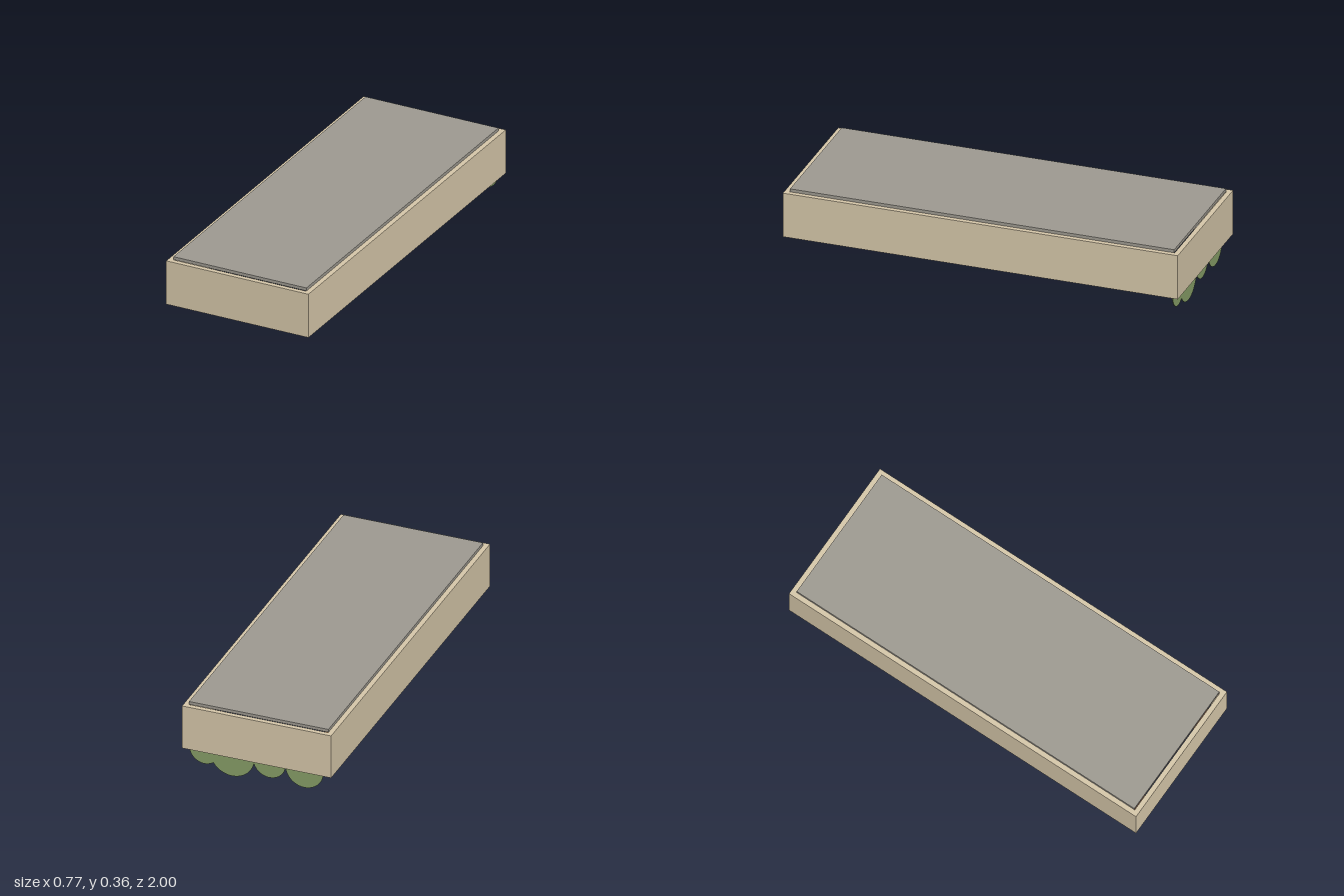
import * as THREE from 'three';
import { mergeGeometries } from 'three/addons/utils/BufferGeometryUtils.js';

const mat = (name, color) => {
  const m = new THREE.MeshStandardMaterial({ color });
  m.name = name;
  return m;
};

export function createModel() {
  const M = {
    wall: mat('sandstone', 0xd8c9ab),
    roof: mat('roofGrey', 0x9f9b92),
    hill: mat('hillGreen', 0x88a068),
    red: mat('barrierRed', 0xd8433a),
    white: mat('barrierWhite', 0xf4f2ee),
    black: mat('postBlack', 0x2c2a2a),
    wood: mat('crateWood', 0xb07440),
    dark: mat('darkWood', 0x6b4429),
    yellow: mat('signYellow', 0xe0b830),
  };
  const root = new THREE.Group();
  root.name = 'arenaHall';
  const FLOOR = 0.118, TOP = 0.348;

  const add = (name, geo, material, parent = root) => {
    const mesh = new THREE.Mesh(geo, material);
    mesh.name = name;
    parent.add(mesh);
  };
  const group = (name, x, y, z) => {
    const g = new THREE.Group();
    g.name = name;
    g.position.set(x, y, z);
    root.add(g);
    return g;
  };
  const block = (w, h, d, x, y, z) => new THREE.BoxGeometry(w, h, d).translate(x, y, z);

  // Shell: four walls and an inset roof slab, open underneath
  const wallH = TOP - FLOOR, wallY = (TOP + FLOOR) / 2;
  for (const s of [-1, 1]) {
    add('sideWall', block(0.025, wallH, 2, s * 0.3705, wallY, 0), M.wall);
    add('endWall', block(0.716, wallH, 0.025, 0, wallY, s * 0.9875), M.wall);
  }
  add('roof', block(0.716, 0.016, 1.946, 0, TOP + 0.008, 0), M.roof);

  // Flat round hills behind the arena, reaching below the walls
  for (const [x, y, r] of [[-0.232, 0.113, 0.097], [-0.052, 0.115, 0.083], [0.14, 0.115, 0.115], [0.282, 0.113, 0.076]]) {
    const disc = new THREE.CylinderGeometry(r, r, 0.004, 48).rotateX(Math.PI / 2);
    add('hill', disc.translate(x, y, -0.965 + r * 0.01), M.hill);
  }
  add('yellowSign', block(0.03, 0.014, 0.006, 0.342, 0.126, -0.971), M.yellow);

  // Railings: solid red and white stretches, open black and white ones between
  const bars = { red: [], white: [], black: [] };
  const isRed = (z) => (z > 0.69 && z < 0.9) || (z > -0.48 && z < 0.06);
  for (const s of [-1, 1]) {
    for (let i = 0; i < 120; i++) {
      const z = -0.94 + i * 0.0158;
      const solid = isRed(z);
      const key = i % 2 ? 'white' : solid ? 'red' : 'black';
      const width = solid ? 0.0158 : i % 2 ? 0.01 : 0.005;
      bars[key].push(block(0.005, 0.034, width, s * 0.352, FLOOR + 0.018, z));
    }
  }
  for (let i = 0; i < 44; i++) {
    bars[i % 2 ? 'white' : 'red'].push(block(0.0158, 0.034, 0.005, -0.34 + i * 0.0158, FLOOR + 0.018, 0.966));
  }
  for (const key in bars) add(key + 'RailingBars', mergeGeometries(bars[key]), M[key]);

  // Lamp posts and a dashed brown moulding under the ceiling on both sides
  const dashes = [];
  for (const s of [-1, 1]) {
    for (const z of [0.386, 0.142, -0.118, -0.5]) {
      add('post', block(0.01, 0.052, 0.01, s * 0.339, FLOOR + 0.026, z), M.black);
      add('postCap', block(0.015, 0.012, 0.015, s * 0.339, FLOOR + 0.055, z), M.black);
    }
    for (let i = 0; i < 60; i++) {
      dashes.push(block(0.004, 0.005, 0.018, s * 0.355, TOP - 0.003, -0.93 + i * 0.0315));
    }
  }
  add('ceilingMoulding', mergeGeometries(dashes), M.dark);

  // Crates with darker edge battens
  const S = 0.036;
  for (const [x, z] of [[0.265, -0.205], [0.09, 0.1], [-0.09, -0.36], [-0.268, 0.255]]) {
    const g = group('crate', x, FLOOR - 0.001 + S / 2, z);
    add('crateBody', block(S - 0.003, S - 0.003, S - 0.003, 0, 0, 0), M.wood, g);
    const battens = [];
    const t = 0.003, o = S / 2 - t / 2;
    for (const a of [-o, o]) for (const b of [-o, o]) {
      battens.push(block(S, t, t, 0, a, b), block(t, S, t, a, 0, b), block(t, t, S, a, b, 0));
    }
    add('crateBattens', mergeGeometries(battens), M.dark, g);
  }

  // Barrels with hoops
  for (const [x, z] of [[0.157, -0.565], [-0.21, -0.615], [-0.307, -0.054]]) {
    const g = group('barrel', x, FLOOR, z);
    add('barrelBody', new THREE.CylinderGeometry(0.017, 0.017, 0.036, 14).translate(0, 0.018, 0), M.wood, g);
    for (const y of [0.009, 0.027]) {
      add('barrelHoop', new THREE.CylinderGeometry(0.0175, 0.0175, 0.003, 14).translate(0, y, 0), M.dark, g);
    }
  }

  // Long red counter with thin white uprights standing on floor struts
  add('counter', block(0.66, 0.03, 0.026, 0, FLOOR + 0.018, 0.67), M.red);
  for (const x of [-0.185, 0, 0.18]) {
    add('counterUpright', block(0.005, 0.1, 0.005, x, FLOOR + 0.05, 0.755), M.white);
    add('counterStrut', block(0.005, 0.004, 0.075, x, FLOOR + 0.002, 0.72), M.white);
  }
  for (const x of [-0.27, -0.09, 0.09, 0.27]) {
    add('counterKnob', block(0.008, 0.014, 0.008, x, FLOOR + 0.04, 0.67), M.black);
  }

  // Desks and red-seated tables near the front wall
  for (const s of [-1, 1]) {
    const g = group('seatingArea', s * 0.265, FLOOR, 0);
    add('desk', block(0.12, 0.022, 0.04, 0, 0.012, 0.925), M.dark, g);
    add('tableTop', block(0.1, 0.006, 0.05, 0, 0.042, 0.83), M.roof, g);
    for (const x of [-0.045, 0.045]) for (const z of [0.81, 0.85]) {
      add('tableLeg', block(0.006, 0.039, 0.006, x, 0.0195, z), M.black, g);
    }
    for (const z of [0.785, 0.875]) add('benchSeat', block(0.1, 0.007, 0.02, 0, 0.022, z), M.red, g);
  }

  // Two rows of small flush ceiling lamps
  for (const x of [0.04, 0.2]) for (let i = 0; i < 7; i++) {
    add('ceilingLamp', block(0.022, 0.003, 0.006, x, TOP - 0.001, -0.75 + i * 0.22), M.white);
  }
  return root;
}
